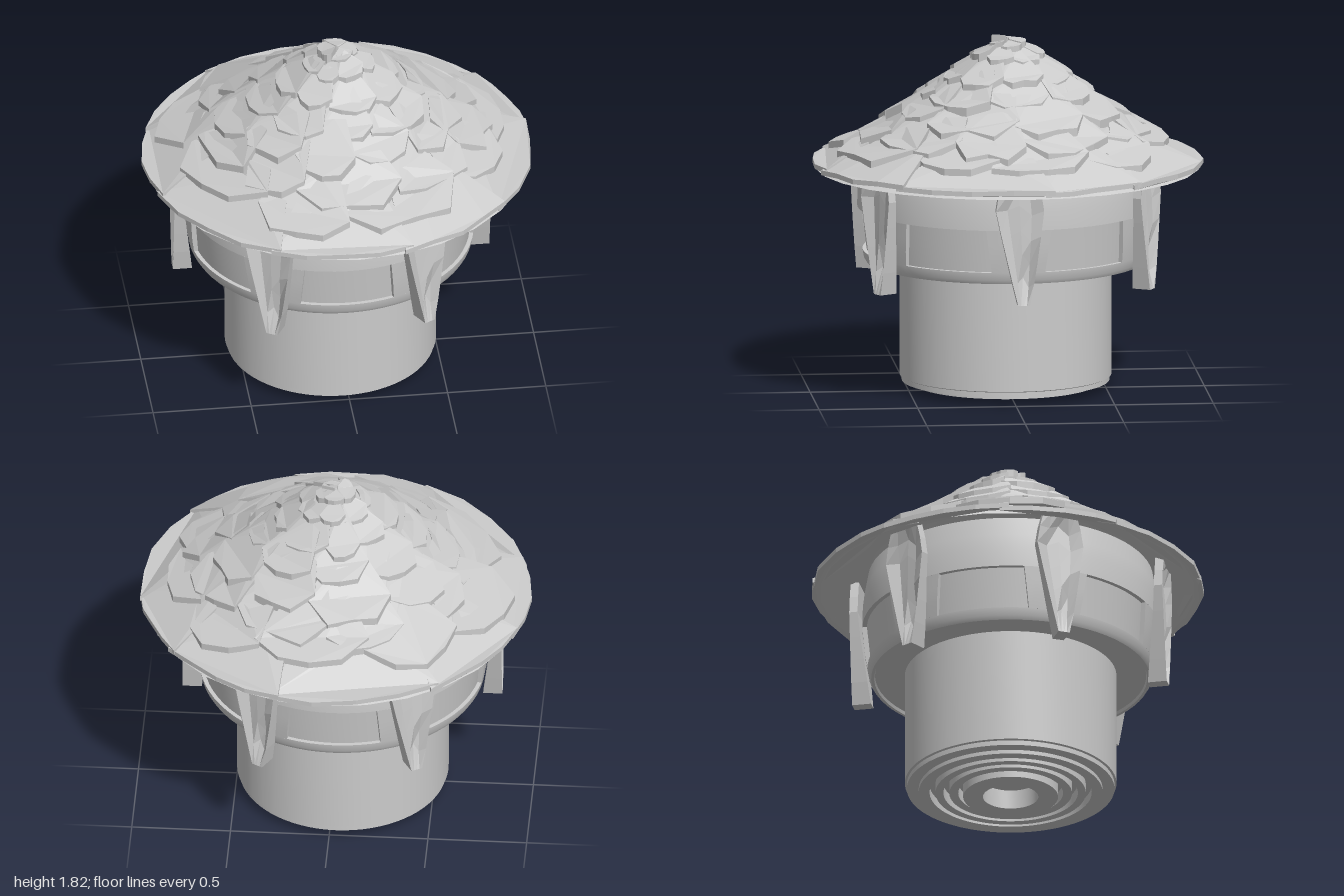
import * as THREE from 'three';
import { toCreasedNormals } from 'three/addons/utils/BufferGeometryUtils.js';

const smooth = new THREE.MeshStandardMaterial({ color: 0xcccccc, side: THREE.DoubleSide });
const faceted = new THREE.MeshStandardMaterial({ color: 0xcccccc, flatShading: true, side: THREE.DoubleSide });

// small seeded generator for the irregular stonework
let seed = 7;
const rand = (a, b) => {
  seed = (seed * 16807) % 2147483647;
  return a + (b - a) * (seed / 2147483647);
};

function mesh(name, geometry, material) {
  const m = new THREE.Mesh(geometry, material);
  m.name = name;
  return m;
}

function lathe(name, profile, segments = 72) {
  const pts = profile.map(([r, y]) => new THREE.Vector2(r, y));
  return mesh(name, toCreasedNormals(new THREE.LatheGeometry(pts, segments), 0.5), smooth);
}

// linear lookup in a list of [key, value]
function lookup(table, k) {
  for (let i = 1; i < table.length; i++) {
    const [k0, v0] = table[i - 1], [k1, v1] = table[i];
    if (k <= k1) return v0 + (v1 - v0) * (k - k0) / (k1 - k0);
  }
  return table[table.length - 1][1];
}

// move every vertex by a rule
function reshape(geometry, rule) {
  const p = geometry.attributes.position, v = new THREE.Vector3();
  for (let i = 0; i < p.count; i++) {
    rule(v.fromBufferAttribute(p, i));
    p.setXYZ(i, v.x, v.y, v.z);
  }
  geometry.computeVertexNormals();
  return geometry;
}

const ringProfile = [[0.66, 0.705], [0.68, 0.717], [0.8, 0.737], [0.94, 0.75], [1.04, 0.748], [1.12, 0.738], [1.22, 0.72]];
const ringR = y => lookup(ringProfile, y);
const WIN_LOW = 0.72, WIN_HIGH = 0.94, RECESS = 0.022;

// bar between two windows, bent round the ring and narrower at the foot
function windowBar(angle) {
  const g = new THREE.BoxGeometry(1, 1, 1, 6, 3, 1);
  reshape(g, v => {
    const t = v.y + 0.5;
    const y = WIN_LOW + (WIN_HIGH - WIN_LOW) * t;
    const half = Math.PI / 6 - (0.335 - 0.035 * t);
    const a = angle + v.x * 2 * half;
    const r = ringR(y) - (v.z > 0 ? 0 : 0.04);
    v.set(r * Math.sin(a), y, r * Math.cos(a));
  });
  return mesh('windowBar', toCreasedNormals(g, 0.5), smooth);
}

// tapering rough bracket: rows of [y, half width, sideways shift]
function bracket() {
  const rows = [[0.565, 0.03, 0.02], [0.68, 0.055, 0.017], [0.8, 0.078, 0.012], [0.92, 0.1, 0.006], [1.05, 0.122, 0], [1.14, 0.108, 0], [1.23, 0.085, 0]];
  const half = rows.map(r => [r[0], r[1]]), shift = rows.map(r => [r[0], r[2]]);
  const g = new THREE.BoxGeometry(1, 1, 1, 4, 6, 1);
  reshape(g, v => {
    const row = Math.round((v.y + 0.5) * 6), col = Math.round((v.x + 0.5) * 4);
    const y = rows[row][0], inner = 0.71 + 0.055 * Math.min(1, (y - 0.56) / 0.45);
    const middle = row > 0 && row < 6 && col > 0 && col < 4;
    const dent = middle ? 0.015 + 0.022 * ((row * 5 + col * 3) % 4) / 3 : 0;
    const zig = middle ? 0.025 * (((row * 3 + col) % 3) - 1) : 0;
    const front = v.z > 0;
    v.set(lookup(half, y) * 2 * v.x + lookup(shift, y), y + (front ? zig : 0), front ? 0.808 - dent : inner);
  });
  return mesh('bracket', g, faceted);
}

const roofProfile = [[0, 1.73], [0.1, 1.7], [0.25, 1.6], [0.45, 1.46], [0.6, 1.355], [0.8, 1.235], [1, 1.15]];
const roofY = r => lookup(roofProfile, r);

// irregular slab of stone laid on the cone between two angles and two radii
function slab(a0, a1, rIn, rOut, lift, tilt, thick, edge) {
  const shape = new THREE.Shape();
  const add = (a, r, i) => shape[i ? 'lineTo' : 'moveTo'](r * Math.cos(a), r * Math.sin(a));
  const outer = 4, inner = 3, da = a1 - a0;
  for (let i = 0; i <= outer; i++) {
    const corner = i === 0 || i === outer;
    add(a0 + da * i / outer, rOut * (edge ? rand(0.975, 0.995) : corner ? rand(0.84, 0.93) : rand(0.96, 1.03)), i);
  }
  for (let i = inner; i >= 0; i--) add(a0 + da * (0.08 + 0.84 * i / inner), rIn * rand(0.92, 1.05), 1);
  const g = new THREE.ExtrudeGeometry(shape, { depth: 1, bevelEnabled: false });
  g.rotateX(-Math.PI / 2);
  const mid = (a0 + a1) / 2;
  return reshape(g, v => {
    const r = Math.hypot(v.x, v.z);
    let d = Math.atan2(-v.z, v.x) - mid;
    d = Math.atan2(Math.sin(d), Math.cos(d));
    const slope = (r - rIn) / (rOut - rIn);
    v.y = roofY(r) + lift + 0.018 * slope * (edge ? 0 : 1) + tilt * d / da + v.y * thick;
  });
}

function buildRoof() {
  const roof = new THREE.Group();
  roof.name = 'roof';
  roof.add(lathe('roofCone', roofProfile.map(([r, y]) => [Math.max(r * 0.97, 0.001), y - 0.005]).reverse(), 28));
  // [inner radius, outer radius, slab count, thickness]
  const rows = [
    [0.7, 1.0, 9, 0.025], [0.6, 0.86, 9, 0.035], [0.47, 0.74, 9, 0.04], [0.35, 0.6, 9, 0.045],
    [0.22, 0.46, 8, 0.045], [0.12, 0.32, 8, 0.05], [0.05, 0.19, 7, 0.055], [0.01, 0.1, 5, 0.06],
  ];
  rows.forEach(([rIn, rOut, count, thick], k) => {
    const step = Math.PI * 2 / count, start = rand(0, step);
    const cuts = Array.from({ length: count }, (_, i) => start + step * (i + rand(-0.22, 0.22)));
    cuts.push(cuts[0] + Math.PI * 2);
    for (let i = 0; i < count; i++) {
      const edge = k === 0, wander = edge ? 1 : rand(0.94, 1.05);
      const g = slab(cuts[i] - 0.02, cuts[i + 1] + 0.03, rIn * wander, rOut * wander,
        edge ? rand(0, 0.01) : rand(0, 0.02), edge ? 0.012 : rand(0.005, 0.03), thick, edge);
      roof.add(mesh('roofSlab', g, faceted));
    }
  });
  return roof;
}

export function createModel() {
  seed = 7;
  const model = new THREE.Group();
  model.name = 'roundHut';
  const base = new THREE.Group();
  base.name = 'base';
  base.position.set(-0.035, 0, 0.005);
  model.add(base);

  // stem with concentric grooves under it
  base.add(lathe('stem', [
    [0.001, 0.1], [0.14, 0.1], [0.14, 0], [0.24, 0], [0.24, 0.08], [0.265, 0.08], [0.265, 0.02], [0.31, 0.02],
    [0.31, 0.08], [0.34, 0.08], [0.34, 0.022], [0.38, 0.022], [0.38, 0.07], [0.41, 0.07], [0.41, 0.025],
    [0.465, 0.025], [0.465, 0.045], [0.525, 0.045], [0.525, 0.07], [0.535, 0.075], [0.535, 0.7],
  ]));

  // ring room: floor, sill, recessed panes, upper wall
  base.add(lathe('sill', [
    [0.53, 0.675], [0.685, 0.675], [0.69, 0.66], [0.705, 0.66], [0.717, 0.68],
    [ringR(WIN_LOW), WIN_LOW], [ringR(WIN_LOW) - 0.04, WIN_LOW],
  ]));
  base.add(lathe('windowPanes', [
    [ringR(WIN_LOW) - RECESS, WIN_LOW - 0.01], [ringR(WIN_HIGH) - RECESS, WIN_HIGH + 0.01],
  ]));
  base.add(lathe('upperWall', [
    [ringR(WIN_HIGH) - 0.04, WIN_HIGH],
    ...ringProfile.filter(([y]) => y >= WIN_HIGH).map(([y, r]) => [r, y]), [0.001, 1.22],
  ]));
  for (let i = 0; i < 6; i++) {
    const angle = Math.PI / 6 + i * Math.PI / 3;
    base.add(windowBar(angle));
    const b = bracket();
    b.rotation.y = angle;
    base.add(b);
  }

  model.add(buildRoof());
  return model;
}
